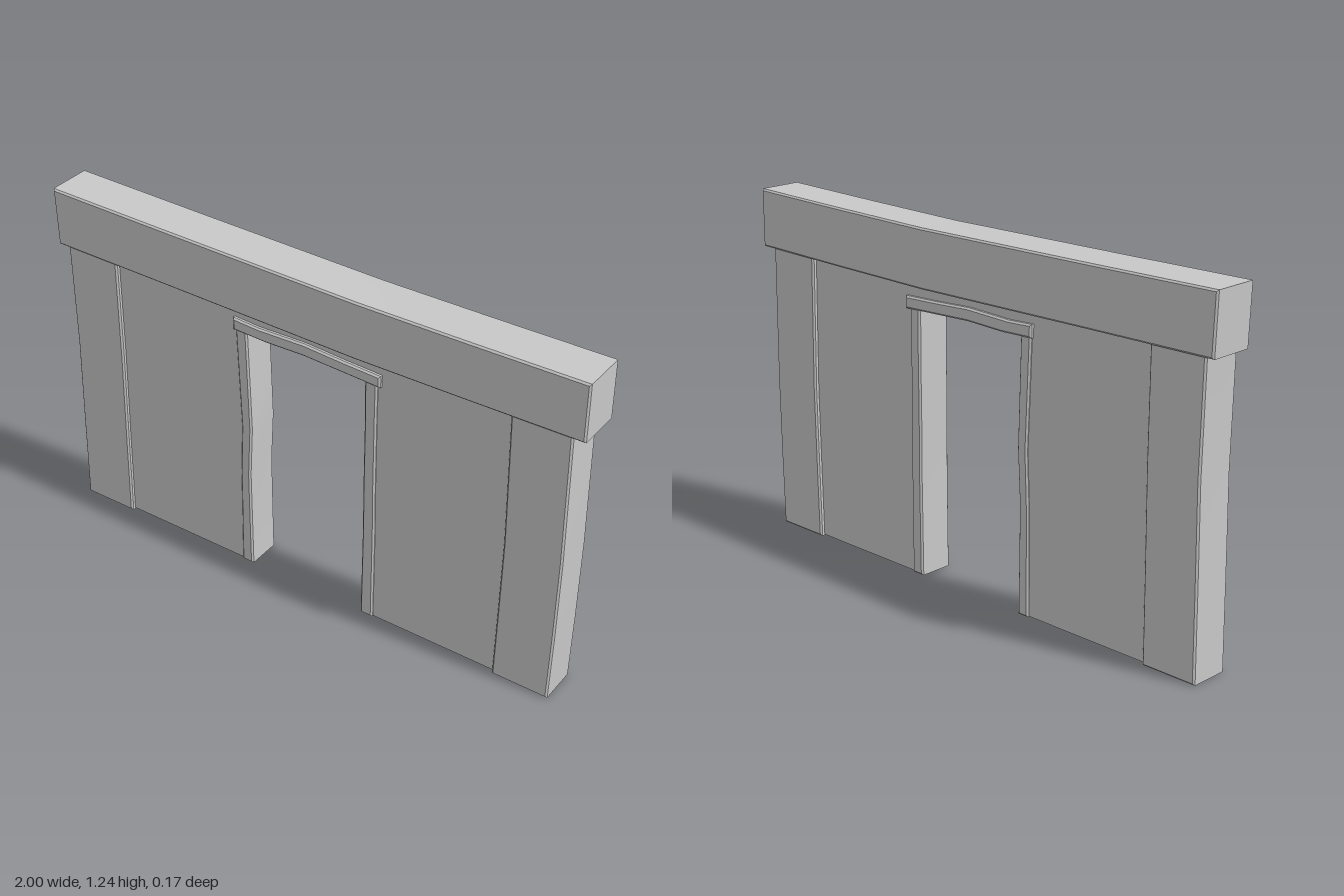
import * as THREE from 'three';
import { toCreasedNormals } from 'three/addons/utils/BufferGeometryUtils.js';

export function createModel() {
  const model = new THREE.Group();
  model.name = 'wallWithDoorway';
  const grey = new THREE.MeshStandardMaterial({ color: 0xc8c8c8, side: THREE.DoubleSide });
  grey.name = 'lightGrey';

  const toShape = pts => new THREE.Shape(pts.map(p => new THREE.Vector2(...p)));

  // Uneven timber: outline in x/y, thick in z, with small chamfers front and back
  function timber(name, outline, halfDepth, bevel = 0.006) {
    const geo = new THREE.ExtrudeGeometry(toShape(outline), {
      depth: 2 * (halfDepth - bevel), bevelEnabled: true, bevelSegments: 1,
      bevelSize: bevel, bevelThickness: bevel, bevelOffset: -bevel,
    });
    geo.translate(0, 0, -(halfDepth - bevel));
    const mesh = new THREE.Mesh(toCreasedNormals(geo, 0.4), grey);
    mesh.name = name;
    model.add(mesh);
  }

  // Upright timber: rows of [y, left x, right x] from the bottom up
  const upright = (name, rows, halfDepth) => timber(name, [
    ...rows.map(([y, , r]) => [r, y]),
    ...rows.map(([y, l]) => [l, y]).reverse(),
  ], halfDepth);

  // Sagging top beam
  timber('topBeam', [
    [-0.993, 1.03], [-0.5, 1.025], [0.2, 1.016], [0.6, 1.021], [0.998, 1.028],
    [0.998, 1.232], [0.6, 1.225], [0.2, 1.22], [-0.5, 1.228], [-1, 1.235],
  ], 0.083);

  // Corner posts
  upright('rightPost', [
    [0, -0.961, -0.757], [0.3, -0.958, -0.755], [0.65, -0.953, -0.751], [1.04, -0.96, -0.753],
  ], 0.073);
  upright('leftPost', [
    [0, 0.947, 0.743], [0.25, 0.953, 0.748], [0.55, 0.957, 0.753], [1.04, 0.953, 0.746],
  ], 0.073);

  // Door jambs
  upright('rightJamb', [
    [0, -0.268, -0.223], [0.38, -0.265, -0.226], [0.57, -0.257, -0.216], [0.75, -0.264, -0.221], [0.96, -0.272, -0.227],
  ], 0.065);
  upright('leftJamb', [
    [0, 0.225, 0.273], [0.35, 0.228, 0.274], [0.55, 0.227, 0.272], [0.8, 0.228, 0.272], [0.96, 0.226, 0.273],
  ], 0.065);

  // Door lintel
  timber('doorLintel', [
    [-0.277, 0.945], [-0.15, 0.941], [0, 0.946], [0.15, 0.94], [0.287, 0.935],
    [0.287, 0.978], [0.15, 0.983], [0, 0.991], [-0.18, 0.985], [-0.277, 0.99],
  ], 0.071);

  // Thin wall skins, front and back, open underneath
  const wall = new THREE.ShapeGeometry(toShape([
    [-0.8, 0.003], [-0.25, 0.003], [-0.25, 0.965], [0.25, 0.965], [0.25, 0.003],
    [0.8, 0.003], [0.8, 1.04], [-0.8, 1.04],
  ]));
  for (const side of [1, -1]) {
    const skin = new THREE.Mesh(wall, grey);
    skin.name = side > 0 ? 'frontWall' : 'backWall';
    skin.position.z = side * 0.057;
    if (side < 0) skin.rotation.y = Math.PI;
    model.add(skin);
  }
  return model;
}
